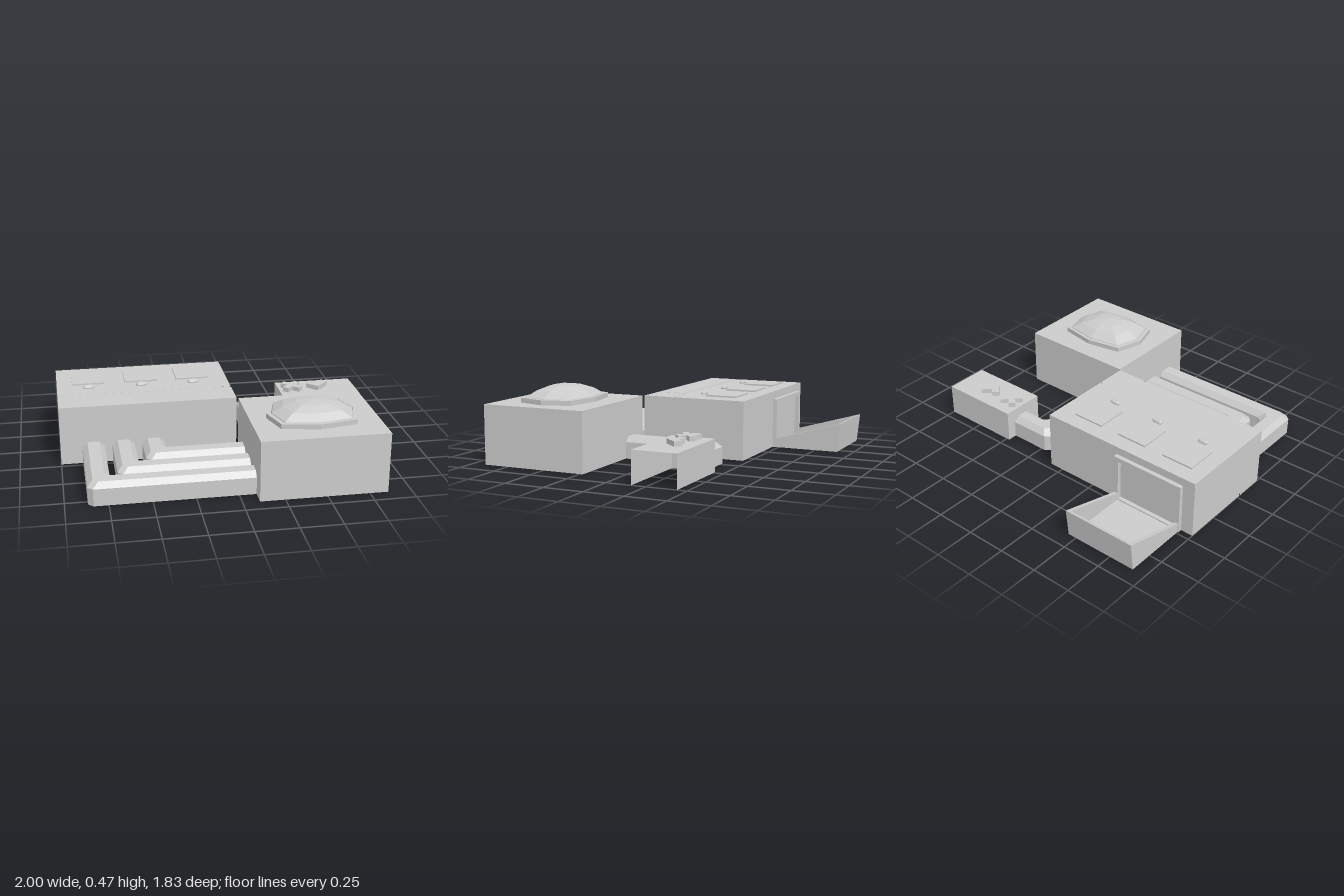
import * as THREE from 'three';

const material = new THREE.MeshStandardMaterial({ color: 0xcccccc, flatShading: true, side: THREE.DoubleSide });
const FACES = ['px', 'nx', 'py', 'ny', 'pz', 'nz'];

export function createModel() {
  const model = new THREE.Group();

  function add(name, geometry, parent = model) {
    const mesh = new THREE.Mesh(geometry, material);
    mesh.name = name;
    parent.add(mesh);
    return mesh;
  }

  function group(name) {
    const g = new THREE.Group();
    g.name = name;
    model.add(g);
    return g;
  }

  // Box from its limits, with some of its faces left open
  function shell(name, [x0, x1], [y0, y1], [z0, z1], omit = ['ny'], parent = model) {
    const g = new THREE.BoxGeometry(x1 - x0, y1 - y0, z1 - z0);
    g.translate((x0 + x1) / 2, (y0 + y1) / 2, (z0 + z1) / 2);
    const index = Array.from(g.index.array);
    g.setIndex(FACES.flatMap((f, i) => (omit.includes(f) ? [] : index.slice(i * 6, i * 6 + 6))));
    g.clearGroups();
    return add(name, g, parent);
  }

  const outline = (points) => new THREE.Shape(points.map(([x, y]) => new THREE.Vector2(x, y)));
  const extrude = (shape, depth) => new THREE.ExtrudeGeometry(shape, { depth, bevelEnabled: false });

  // Long machine housing: rear and front sections with a narrow groove between them
  const H = 0.37;
  const housing = group('mainHousing');
  shell('rearHousing', [-1, 0.09], [0, H], [-0.46, 0.018], ['ny', 'pz'], housing);
  shell('frontHousingLeft', [-0.112, 0.09], [0, H], [0.03, 0.22], ['ny', 'nx', 'pz', 'nz'], housing);
  shell('frontHousingRight', [-1, -0.122], [0, H], [0.03, 0.22], ['ny', 'px', 'pz', 'nz'], housing);
  shell('frontWall', [-1, 0.09], [0, H], [0.03, 0.22], FACES.filter((f) => f !== 'pz'), housing);
  shell('grooveLiner', [-0.992, 0.082], [0, H - 0.008], [0, 0.05], ['ny', 'pz', 'nz'], housing);
  shell('seamLiner', [-0.14, -0.095], [H - 0.012, H - 0.008], [0.03, 0.219], [], housing);

  // Three raised panels, each with a small button
  for (const x of [-0.8, -0.465, -0.135]) {
    shell('roofPanel', [x - 0.103, x + 0.103], [H - 0.01, H + 0.01], [-0.36, -0.155], [], housing);
    const button = add('button', new THREE.CapsuleGeometry(0.016, 0.04, 2, 8), housing);
    button.rotation.z = Math.PI / 2;
    button.position.set(x, H + 0.005, -0.102);
  }

  // Frame on the rear wall, with the collecting tray below it
  const tray = group('collectingTray');
  const frame = outline([[-0.92, 0], [-0.44, 0], [-0.44, 0.32], [-0.92, 0.32]]);
  frame.holes.push(new THREE.Path(
    [[-0.89, 0.02], [-0.89, 0.29], [-0.47, 0.29], [-0.47, 0.02]].map(([x, y]) => new THREE.Vector2(x, y))));
  add('trayFrame', extrude(frame, 0.028).translate(0, 0, -0.487), tray);

  // Profiles run backwards from the housing and are extruded across the tray
  function trayPart(name, points, x0, x1) {
    add(name, extrude(outline(points), x1 - x0).rotateY(Math.PI / 2).translate(x0, 0, 0), tray);
  }
  const side = [[0.487, 0], [0.9, 0], [0.92, 0.185], [0.487, 0.06]];
  trayPart('traySide', side, -0.915, -0.892);
  trayPart('traySide', side, -0.468, -0.445);
  trayPart('trayEnd', [[0.877, 0], [0.9, 0], [0.92, 0.185], [0.896, 0.178]], -0.892, -0.468);
  trayPart('trayFloor', [[0.487, 0], [0.88, 0], [0.88, 0.012], [0.487, 0.012]], -0.892, -0.468);

  // Square housing with a stretched eight-sided dome
  shell('domeHousing', [0.1, 0.86], [0, H], [0.23, 0.91]);
  function octagonLathe(name, profile) {
    const g = new THREE.LatheGeometry(profile.map(([r, y]) => new THREE.Vector2(r, y)), 8);
    const p = g.attributes.position;
    for (let i = 0; i < p.count; i++) {
      // Diagonal corners sit further out than on a regular octagon
      const diagonal = Math.abs(p.getX(i) * p.getZ(i)) > 1e-6 ? 1.15 : 1;
      p.setXYZ(i, p.getX(i) * 0.278 * diagonal, p.getY(i), p.getZ(i) * 0.217 * diagonal);
    }
    add(name, g.translate(0.478, 0, 0.573));
  }
  octagonLathe('domeRim', [[1, H], [1, 0.4], [0.9, 0.4], [0.9, 0.385]]);
  octagonLathe('dome', [[0.9, 0.385], [0.88, 0.402], [0.65, 0.438], [0.36, 0.464], [0, 0.475]]);

  // Small control box, open at the bottom and on its outer end
  shell('controlBox', [0.48, 1], [0, 0.2], [-0.44, -0.16], ['ny', 'px']);
  const a = 0.073, w = 0.022;
  const cross = [[w, w], [w, a], [-w, a], [-w, w], [-a, w], [-a, -w],
    [-w, -w], [-w, -a], [w, -a], [w, -w], [a, -w], [a, w]];
  add('crossMark', extrude(outline(cross), 0.04)
    .rotateZ(Math.PI / 4).rotateX(-Math.PI / 2).translate(0.567, 0.19, -0.31));
  const check = [[0.672, 0.315], [0.737, 0.25], [0.822, 0.336], [0.787, 0.372], [0.737, 0.32], [0.707, 0.35]];
  check[4] = [0.737, 0.322];
  add('checkMark', extrude(outline(check), 0.04).rotateX(-Math.PI / 2).translate(0, 0.19, 0));

  // Chamfered covered duct: from z0 to a corner at (cx, cz), then on to x1
  const section = [[-0.068, 0], [-0.068, 0.105], [-0.036, 0.138], [0.036, 0.138], [0.068, 0.105], [0.068, 0]];
  function duct(name, cx, cz, z0, x1) {
    const sx = Math.sign(x1 - cx), sz = Math.sign(z0 - cz), cut = 0.03;
    const positions = [], indices = [];
    section.forEach(([o, y], i) => {
      const x = cx - sx * o, z = cz - sz * o;
      positions.push(x, y, z0, x, y, z + sz * cut, x + sx * cut, y, z, x1, y, z);
      if (i === 0) return;
      for (let j = 0; j < 3; j++) {
        const p = (i - 1) * 4 + j, q = p + 4;
        if (sx * sz < 0) indices.push(p, p + 1, q, q, p + 1, q + 1);
        else indices.push(p, q, p + 1, q, q + 1, p + 1);
      }
    });
    const g = new THREE.BufferGeometry();
    g.setAttribute('position', new THREE.Float32BufferAttribute(positions, 3));
    g.setIndex(indices);
    const flat = g.toNonIndexed();
    flat.computeVertexNormals();
    add(name, flat);
  }
  for (let i = 0; i < 3; i++) duct('frontDuct', -0.8 + i * 0.184, 0.745 - i * 0.169, 0.21, 0.11);
  duct('rearDuct', 0.26, -0.31, 0.24, 0.49);

  return model;
}
